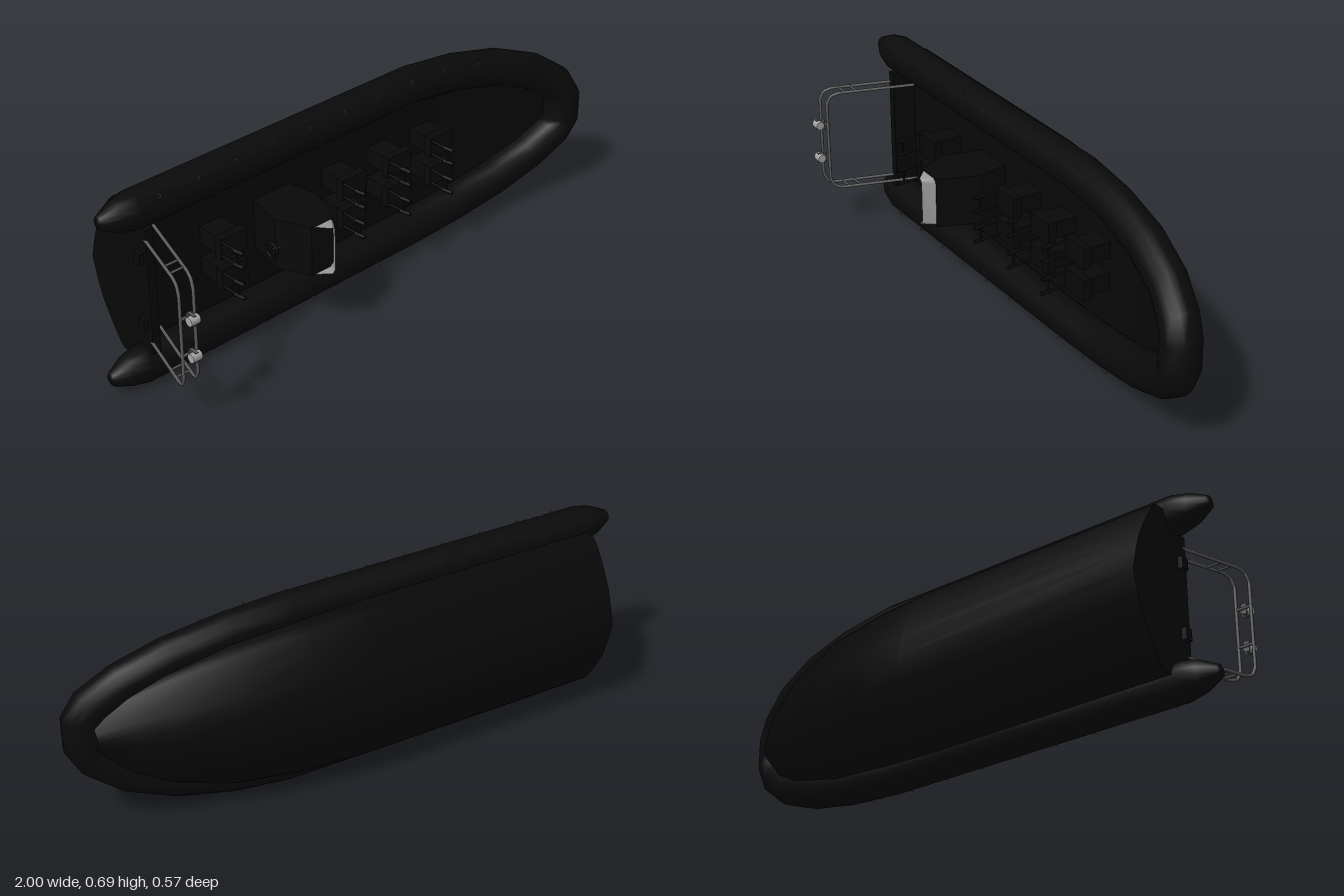
import * as THREE from 'three';

const mat = (name, color, side = THREE.FrontSide) => {
  const m = new THREE.MeshStandardMaterial({ color, side });
  m.name = name;
  return m;
};

// Joins cross-sections (arrays of [x,y,z], equal length) into a skin.
function loft(sections, closed) {
  const n = sections[0].length, pos = sections.flat(2), idx = [];
  for (let i = 0; i < sections.length - 1; i++) {
    for (let j = 0; j < (closed ? n : n - 1); j++) {
      const k = (j + 1) % n, a = i * n + j, b = i * n + k, c = a + n, d = b + n;
      idx.push(a, b, c, b, d, c);
    }
  }
  const g = new THREE.BufferGeometry();
  g.setAttribute('position', new THREE.Float32BufferAttribute(pos, 3));
  g.setIndex(idx);
  g.computeVertexNormals();
  return g;
}

// Boat frame: x forward, y up from the deck, z to the side.
export function createModel() {
  const rubber = mat('tube black', 0x0a0a0a, THREE.DoubleSide);
  const hullBlack = mat('hull black', 0x080808, THREE.DoubleSide);
  const fitting = mat('fitting black', 0x090909);
  const steel = mat('rail grey', 0x5c5c5c);
  const glass = mat('windshield grey', 0x999999, THREE.DoubleSide);
  const lampGrey = mat('lamp grey', 0xa8a8a8);

  const boat = new THREE.Group();
  boat.name = 'boat';
  const add = (name, geo, m, x = 0, y = 0, z = 0, parent = boat) => {
    const mesh = new THREE.Mesh(geo, m);
    mesh.name = name;
    mesh.position.set(x, y, z);
    parent.add(mesh);
    return mesh;
  };
  const box = (name, w, h, d, m, x, y, z, parent) =>
    add(name, new THREE.BoxGeometry(w, h, d), m, x, y, z, parent);
  const V = (x, y, z) => new THREE.Vector3(x, y, z);
  const rod = (name, a, b, r, m, parent) => {
    const mesh = add(name, new THREE.CylinderGeometry(r, r, a.distanceTo(b), 8), m, 0, 0, 0, parent);
    mesh.position.copy(a).lerp(b, 0.5);
    mesh.quaternion.setFromUnitVectors(V(0, 1, 0), b.clone().sub(a).normalize());
    return mesh;
  };

  // Inflatable collar: x, y, side, radius along one half, then mirrored
  const half = [
    [-1, -0.05, 0.283, 0.001], [-0.998, -0.05, 0.283, 0.022], [-0.94, -0.05, 0.281, 0.05],
    [-0.88, -0.05, 0.28, 0.064], [-0.3, -0.05, 0.28, 0.064], [0.27, -0.05, 0.28, 0.064],
    [0.47, -0.038, 0.262, 0.064], [0.66, -0.016, 0.223, 0.065], [0.81, 0.012, 0.165, 0.065],
    [0.905, 0.042, 0.095, 0.066], [0.934, 0.055, 0.045, 0.066]
  ];
  const path = [...half, ...half.slice().reverse().map(([x, y, z, r]) => [x, y, -z, r])];
  const rings = path.map(([x, y, z, r], i) => {
    const p = path[Math.max(0, i - 1)], q = path[Math.min(path.length - 1, i + 1)];
    const len = Math.hypot(q[0] - p[0], q[2] - p[2]);
    const nx = -(q[2] - p[2]) / len, nz = (q[0] - p[0]) / len;
    return Array.from({ length: 14 }, (_, j) => {
      const a = (j / 14) * Math.PI * 2;
      return [x + nx * r * Math.cos(a), y + r * Math.sin(a), z + nz * r * Math.cos(a)];
    });
  });
  add('collar', loft(rings, true), rubber);

  // Hull stations: x, half width, deck height, chine height, keel height
  const stations = [
    [-0.87, 0.278, -0.085, -0.155, -0.287], [0.05, 0.278, -0.085, -0.155, -0.287],
    [0.25, 0.272, -0.085, -0.145, -0.272], [0.49, 0.25, -0.07, -0.12, -0.24],
    [0.7, 0.195, -0.035, -0.075, -0.168], [0.82, 0.14, -0.005, -0.035, -0.105],
    [0.92, 0.05, 0.035, 0.01, -0.03]
  ];
  const bottom = [[0.93, 0.15], [0.74, 0.41], [0.47, 0.72], [0.275, 0.856]];
  const sections = stations.map(([x, w, top, chine, keel]) => {
    const side = [[w, top], [w, chine], ...bottom.map(([u, v]) => [w * u, chine + (keel - chine) * v])];
    return [
      ...side.map(([z, y]) => [x, y, z]), [x, keel, 0],
      ...side.slice().reverse().map(([z, y]) => [x, y, -z])
    ];
  });
  add('hull', loft(sections, false), hullBlack);
  add('deck', loft(stations.map(([x, w, top]) => [[x, top, -w], [x, top, w]]), false), hullBlack);

  // Transom plate shaped like the aft section
  const outline = new THREE.Shape(sections[0].map(([, y, z]) => new THREE.Vector2(-z, y)));
  const transom = add('transom', new THREE.ShapeGeometry(outline), hullBlack, -0.87);
  transom.rotation.y = -Math.PI / 2;
  box('transomWall', 0.03, 0.1, 0.45, hullBlack, -0.855, -0.05, 0);
  for (const s of [-1, 1]) box('transomFitting', 0.02, 0.03, 0.04, fitting, -0.877, -0.03, s * 0.12);

  // Seats with rear grab handles
  for (const x of [-0.56, -0.05, 0.155, 0.355]) {
    for (const s of [-1, 1]) {
      const seat = new THREE.Group();
      seat.name = 'seat';
      seat.position.set(x, 0, s * 0.056);
      boat.add(seat);
      box('seatBase', 0.085, 0.09, 0.06, fitting, 0, -0.045, 0, seat);
      box('seatCushion', 0.105, 0.03, 0.074, fitting, 0, 0.015, 0, seat);
      for (const t of [-1, 1]) {
        rod('handlePost', V(-0.045, 0.01, t * 0.025), V(-0.045, 0.1, t * 0.025), 0.004, fitting, seat);
        rod('handleGrip', V(-0.047, 0.085, t * 0.025), V(-0.042, 0.125, t * 0.025), 0.007, fitting, seat);
      }
      rod('handleBar', V(-0.045, 0.1, -0.025), V(-0.045, 0.1, 0.025), 0.004, fitting, seat);
    }
  }

  // Steering console with sloping faces
  const profile = new THREE.Shape([[-0.38, -0.09], [-0.23, -0.09], [-0.21, 0.03], [-0.265, 0.165],
    [-0.36, 0.165], [-0.41, 0.05]].map(([x, y]) => new THREE.Vector2(x, y)));
  add('console', new THREE.ExtrudeGeometry(profile, { depth: 0.18, bevelEnabled: false }),
    fitting, 0, 0, -0.09);
  const wheel = add('steeringWheel', new THREE.TorusGeometry(0.027, 0.005, 6, 16), fitting, -0.43, 0.055, 0.01);
  wheel.rotation.set(0, Math.PI / 2, 0);
  rod('steeringColumn', V(-0.43, 0.055, 0.01), V(-0.39, 0.07, 0.01), 0.006, fitting);

  // Wraparound windshield
  const low = [[-0.35, -0.088], [-0.28, -0.088], [-0.268, -0.076], [-0.268, 0.076], [-0.28, 0.088], [-0.35, 0.088]];
  const high = [[-0.31, -0.084], [-0.304, -0.084], [-0.296, -0.074], [-0.296, 0.074], [-0.304, 0.084], [-0.31, 0.084]];
  add('windshield', loft([low.map(([x, z]) => [x, 0.164, z]), high.map(([x, z]) => [x, 0.204, z])], false), glass);

  // Stern arch: two leaning hoops joined by rungs
  const arch = new THREE.Group();
  arch.name = 'sternArch';
  boat.add(arch);
  for (const [x0, x1] of [[-0.85, -0.943], [-0.795, -0.89]]) {
    const at = (y, z) => V(x0 + (x1 - x0) * (y + 0.06) / 0.305, y, z);
    const one = [at(-0.06, 0.186), at(0.205, 0.186), at(0.232, 0.176), at(0.245, 0.148)];
    const pts = [...one, ...one.slice().reverse().map(p => V(p.x, p.y, -p.z))];
    const curve = new THREE.CurvePath();
    for (let i = 0; i < pts.length - 1; i++) curve.add(new THREE.LineCurve3(pts[i], pts[i + 1]));
    add('archHoop', new THREE.TubeGeometry(curve, 90, 0.0055, 8), steel, 0, 0, 0, arch);
  }
  for (const s of [-1, 1]) {
    for (const [y, xa, xb] of [[0.14, -0.911, -0.857], [0.18, -0.923, -0.87]])
      rod('archRung', V(xa, y, s * 0.186), V(xb, y, s * 0.186), 0.004, steel, arch);
    // Lamps on the arch
    rod('lampBar', V(-0.943, 0.245, s * 0.065), V(-0.89, 0.245, s * 0.065), 0.005, steel, arch);
    box('lampBracket', 0.02, 0.004, 0.036, steel, -0.915, 0.251, s * 0.065, arch);
    for (const t of [-1, 1])
      box('lampArm', 0.01, 0.03, 0.002, steel, -0.915, 0.265, s * 0.065 + t * 0.017, arch);
    rod('lamp', V(-0.932, 0.27, s * 0.065), V(-0.898, 0.27, s * 0.065), 0.016, lampGrey, arch);
  }

  // Grab-line eyelets along the collar
  for (let i = 0; i < 10; i++) {
    const x = -0.81 + i * 0.149;
    const k = half.findIndex(p => p[0] > x), a = half[k - 1], b = half[k];
    const t = (x - a[0]) / (b[0] - a[0]);
    const y = a[1] + (b[1] - a[1]) * t, z = a[2] + (b[2] - a[2]) * t;
    for (const s of [-1, 1]) {
      const eye = add('eyelet', new THREE.TorusGeometry(0.006, 0.002, 5, 10), steel, x, y + 0.052, s * (z + 0.042));
      eye.rotation.y = Math.PI / 2;
    }
  }

  // The boat rests on its side, deck towards the front
  boat.rotation.x = Math.PI / 2;
  boat.position.y = 0.344;
  const model = new THREE.Group();
  model.name = 'inflatableBoat';
  model.add(boat);
  return model;
}
